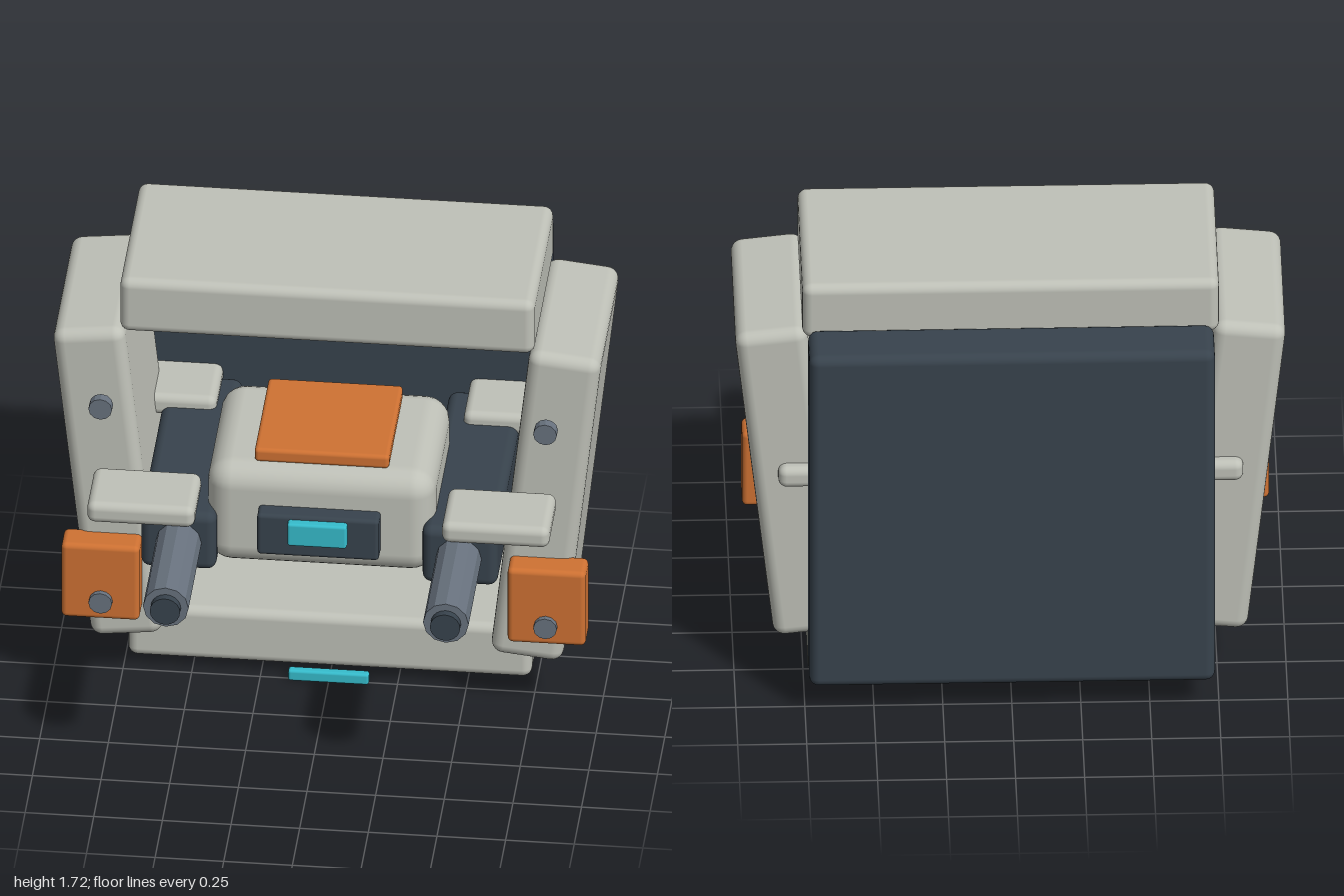
import * as THREE from 'three';
import { RoundedBoxGeometry } from 'three/addons/geometries/RoundedBoxGeometry.js';

const material = (name, color, flatShading = false) => {
  const m = new THREE.MeshStandardMaterial({ color, flatShading });
  m.name = name;
  return m;
};

export function createModel() {
  const model = new THREE.Group();
  model.name = 'machine';
  const hull = material('light grey hull', 0xbfc1b8);
  const dark = material('dark slate', 0x38434d);
  const orange = material('orange', 0xcf7233);
  const cyan = material('cyan light', 0x36bccc);
  const steel = material('steel', 0x69737f, true);

  // Rounded box given by its extents on each axis
  const box = (name, mat, [x0, x1], [y0, y1], [z0, z1], radius) => {
    const geometry = new RoundedBoxGeometry(x1 - x0, y1 - y0, z1 - z0, 3, radius);
    const mesh = new THREE.Mesh(geometry, mat);
    mesh.name = name;
    mesh.position.set((x0 + x1) / 2, (y0 + y1) / 2, (z0 + z1) / 2);
    model.add(mesh);
    return mesh;
  };

  // Cylinder lying along z between z0 and z1
  const rod = (name, mat, x, y, [z0, z1], radius, sides = 12) => {
    const geometry = new THREE.CylinderGeometry(radius, radius, z1 - z0, sides).rotateX(Math.PI / 2);
    const mesh = new THREE.Mesh(geometry, mat);
    mesh.name = name;
    mesh.position.set(x, y, (z0 + z1) / 2);
    model.add(mesh);
  };

  // Outer frame
  box('topBeam', hull, [-0.755, 0.755], [1.49, 1.715], [-0.61, 0.075], 0.035);
  box('bottomBeam', hull, [-0.735, 0.735], [0.04, 0.26], [-0.61, -0.02], 0.035);
  box('backPanel', dark, [-0.735, 0.735], [0.12, 1.54], [-0.82, -0.605], 0.035);
  box('bottomLight', cyan, [-0.147, 0.147], [0, 0.045], [-0.015, 0.02], 0.01);

  // Central pod with its lid and display
  box('pod', hull, [-0.415, 0.415], [0.665, 1.085], [-0.315, 0.315], 0.09);
  box('podLid', orange, [-0.245, 0.245], [1.08, 1.135], [-0.24, 0.248], 0.015);
  box('displayFrame', dark, [-0.222, 0.222], [0.768, 0.94], [0.28, 0.382], 0.015);
  box('displayLight', cyan, [-0.108, 0.108], [0.833, 0.927], [0.37, 0.415], 0.01);

  for (const side of [-1, 1]) {
    const label = side > 0 ? 'left' : 'right';
    const span = (a, b) => (side > 0 ? [a, b] : [-b, -a]);

    // Side wall leaning outward at the top
    const wall = box(label + 'Wall', hull, span(0.666, 0.93), [0.195, 1.505], [-0.587, 0.1], 0.045);
    wall.rotation.z = -side * 0.11;

    // Arm with barrel
    box(label + 'Arm', dark, span(0.375, 0.65), [0.66, 0.9], [-0.6, 0.348], 0.035);
    rod(label + 'Barrel', steel, side * 0.51, 0.782, [0.3, 0.79], 0.083);
    rod(label + 'BarrelTip', dark, side * 0.51, 0.782, [0.785, 0.82], 0.055, 20);

    // Front and rear winglets
    box(label + 'FrontWinglet', hull, span(0.45, 0.842), [0.86, 0.945], [0.118, 0.385], 0.03);
    box(label + 'RearWinglet', hull, span(0.45, 0.842), [0.86, 0.945], [-0.632, -0.365], 0.03);

    // Orange block and bolts
    box(label + 'Block', orange, span(0.67, 0.955), [0.33, 0.645], [0.075, 0.195], 0.02);
    for (const y of [0.412, 1.246]) rod(label + 'Bolt', steel, side * 0.81, y, [0.177, 0.215], 0.043);
  }
  return model;
}
